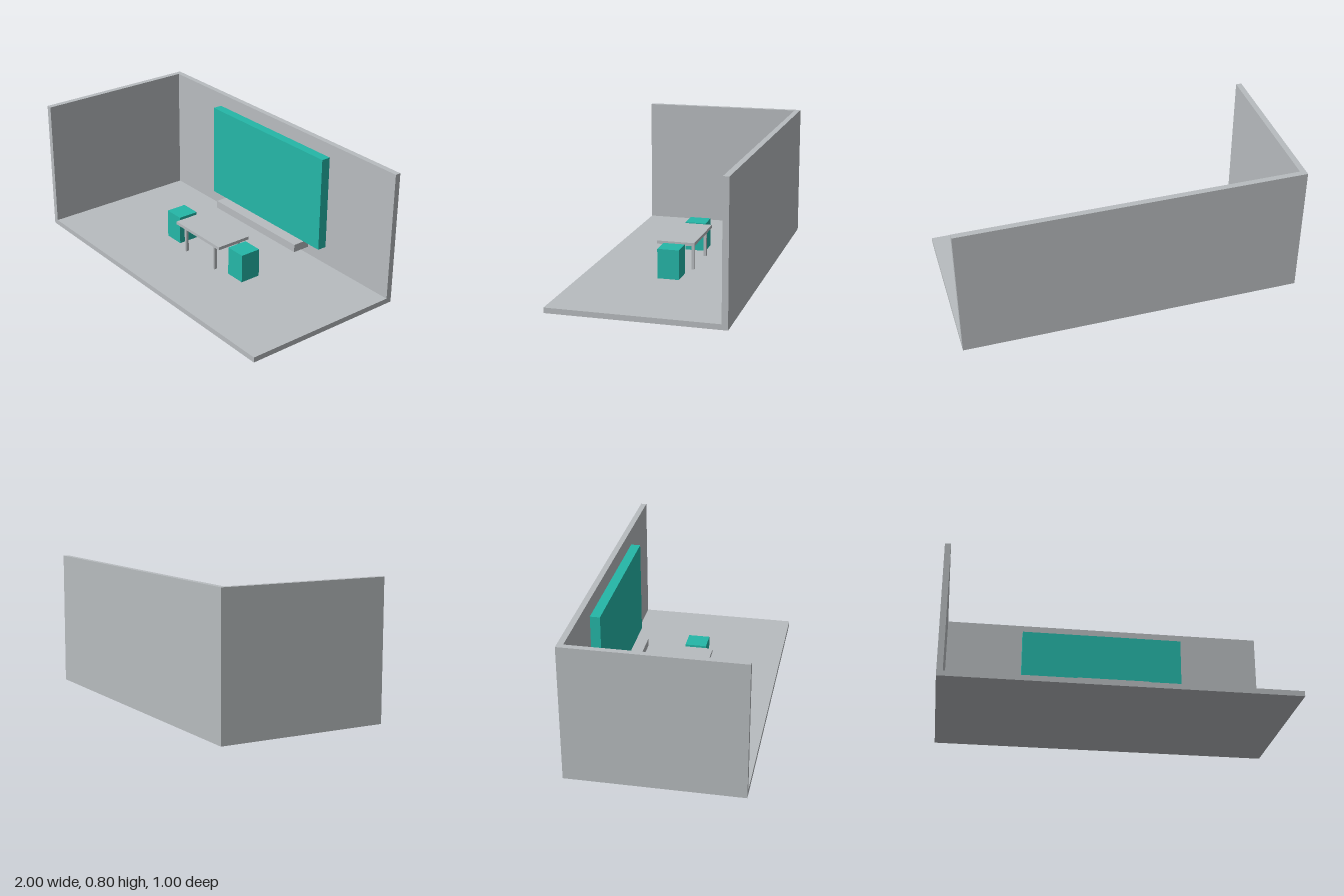
import * as THREE from 'three';

export function createModel() {
  const model = new THREE.Group();
  const grey = new THREE.MeshStandardMaterial({ color: 0xb8bcbf });
  grey.name = 'pale grey';
  const teal = new THREE.MeshStandardMaterial({ color: 0x25b7a8 });
  teal.name = 'teal';

  // Box given by its [min, max] range on each axis
  function addBox(name, material, [x0, x1], [y0, y1], [z0, z1], parent = model) {
    const mesh = new THREE.Mesh(new THREE.BoxGeometry(x1 - x0, y1 - y0, z1 - z0), material);
    mesh.position.set((x0 + x1) / 2, (y0 + y1) / 2, (z0 + z1) / 2);
    mesh.name = name;
    parent.add(mesh);
    return mesh;
  }

  // Room shell: floor and two walls
  const floorTop = 0.031;
  const wall = 0.034;
  addBox('floor', grey, [-1 + wall, 1], [0, floorTop], [-0.5 + wall, 0.5]);
  addBox('backWall', grey, [-1 + wall, 1], [0, 0.8], [-0.5, -0.5 + wall]);
  addBox('sideWall', grey, [-1, -1 + wall], [0, 0.8], [-0.5, 0.5]);

  // Large screen with the shelf below it
  addBox('screen', teal, [-0.5, 0.5], [0.151, 0.727], [-0.453, -0.396]);
  addBox('shelf', grey, [-0.373, 0.37], [0.103, 0.151], [-0.434, -0.324]);

  // Table with four legs
  const table = new THREE.Group();
  table.name = 'table';
  table.position.set(-0.002, 0, 0.001);
  model.add(table);
  addBox('tableTop', grey, [-0.207, 0.207], [0.189, 0.208], [-0.111, 0.111], table);
  for (const sx of [-1, 1]) {
    for (const sz of [-1, 1]) {
      const x = sx * 0.139, z = sz * 0.087, h = 0.0085;
      addBox('tableLeg', grey, [x - h, x + h], [floorTop, 0.189], [z - h, z + h], table);
    }
  }

  // Block stools at both ends of the table
  for (const x of [-0.303, 0.297]) {
    addBox('stool', teal, [x - 0.063, x + 0.063], [floorTop, 0.205], [-0.062, 0.065]);
  }

  return model;
}
